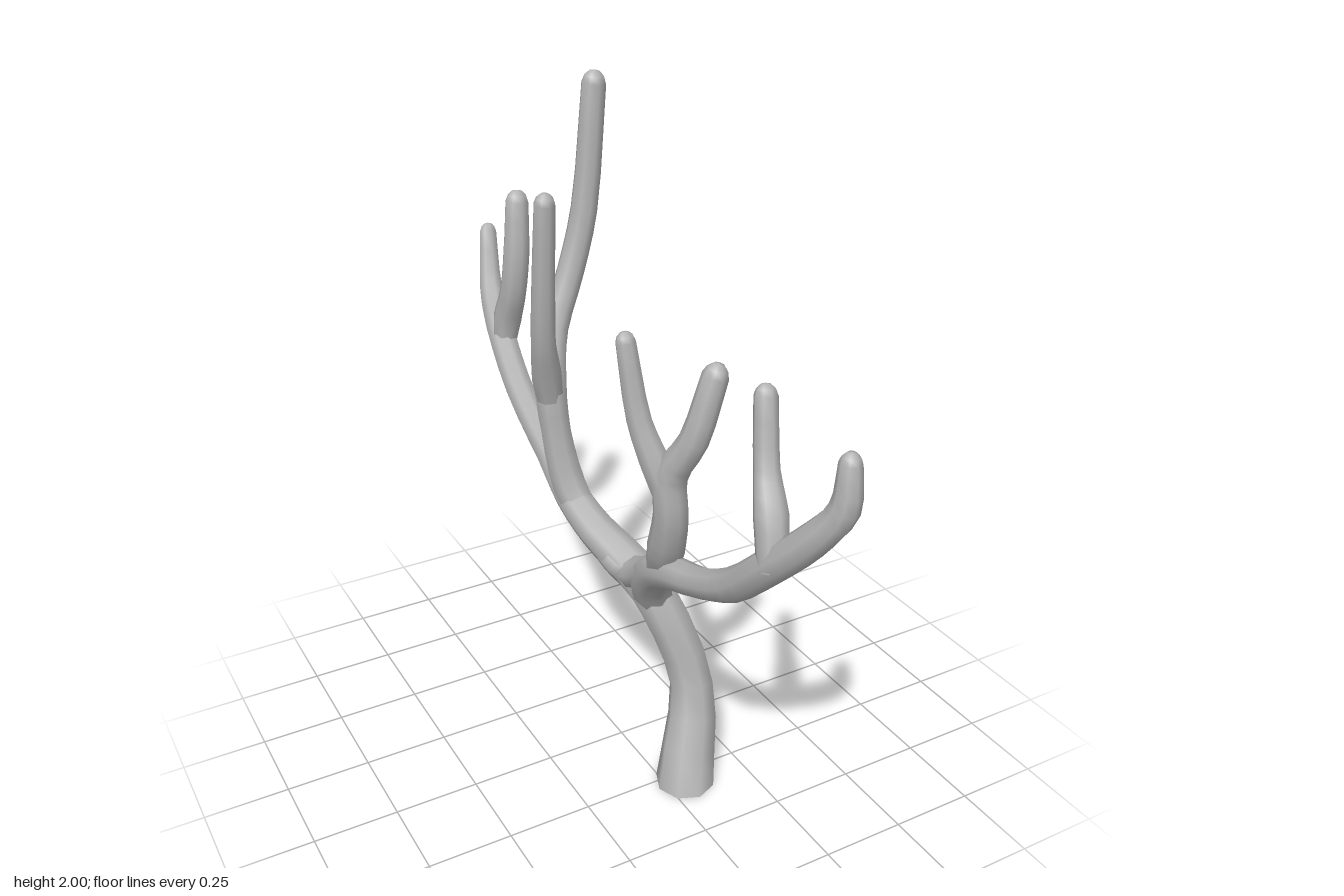
import * as THREE from 'three';

const SIDES = 8;
const X = new THREE.Vector3(1, 0, 0);

// Sweep a tapering tube through [x, y, z, radius] stations, with a rounded tip.
function limbGeometry(stations, { flatBase = false, roundTip = true } = {}) {
  const pts = stations.map(s => new THREE.Vector3(s[0], s[1], s[2]));
  const radii = stations.map(s => s[3]);
  const last = pts.length - 1;
  if (roundTip) {
    const back = pts[last].clone().sub(pts[last - 1]).setLength(radii[last]);
    pts[last].sub(back); // leave room for the cap
  }
  const curve = new THREE.CatmullRomCurve3(pts, false, 'centripetal');
  const rings = [];
  const steps = last * 3;
  for (let i = 0; i <= steps; i++) {
    const t = i / steps;
    const k = Math.min(Math.floor(t * last), last - 1);
    rings.push({
      p: curve.getPoint(t),
      dir: flatBase && i === 0 ? new THREE.Vector3(0, 1, 0) : curve.getTangent(t),
      r: THREE.MathUtils.lerp(radii[k], radii[k + 1], t * last - k),
    });
  }
  if (roundTip) {
    const { p, dir, r } = rings[steps];
    for (const [along, size] of [[0.55, 0.8], [0.92, 0.42], [1, 0]]) {
      rings.push({ p: p.clone().addScaledVector(dir, along * r), dir, r: r * size });
    }
  }

  const position = [], index = [];
  rings.forEach(({ p, dir, r }, i) => {
    const u = X.clone().addScaledVector(dir, -X.dot(dir)).normalize();
    const v = dir.clone().cross(u);
    for (let j = 0; j < SIDES; j++) {
      const a = j / SIDES * Math.PI * 2;
      const q = p.clone().addScaledVector(u, Math.cos(a) * r).addScaledVector(v, Math.sin(a) * r);
      position.push(q.x, q.y, q.z);
      if (i === rings.length - 1) continue;
      const j2 = (j + 1) % SIDES, A = i * SIDES, B = A + SIDES;
      index.push(A + j, A + j2, B + j, A + j2, B + j2, B + j);
    }
  });
  const geo = new THREE.BufferGeometry();
  geo.setAttribute('position', new THREE.Float32BufferAttribute(position, 3));
  geo.setIndex(index);
  geo.computeVertexNormals();
  return geo;
}

export function createModel() {
  const group = new THREE.Group();
  const grey = new THREE.MeshStandardMaterial({ color: 0xb4b4b4 });
  grey.name = 'barkGrey';

  const add = (name, geometry) => {
    const mesh = new THREE.Mesh(geometry, grey);
    mesh.name = name;
    group.add(mesh);
    return mesh;
  };

  // Trunk runs on into the rear main branch
  add('trunkAndRearBranch', limbGeometry([
    [0.06, 0, 0.285, 0.088], [0.122, 0.29, 0.208, 0.066], [0.055, 0.55, 0.122, 0.066],
    [0.01, 0.64, 0.05, 0.064], [-0.045, 0.72, -0.07, 0.057], [-0.07, 0.79, -0.18, 0.052],
    [-0.06, 0.86, -0.35, 0.044], [-0.05, 0.985, -0.58, 0.045], [-0.025, 1.11, -0.76, 0.045],
    [0, 1.2, -0.875, 0.038], [0.03, 1.395, -0.95, 0.028],
  ], { flatBase: true }));
  const base = add('trunkBase', new THREE.CircleGeometry(0.088, SIDES));
  base.rotation.x = Math.PI / 2;
  base.position.set(0.06, 0, 0.285);

  const limbs = {
    // Front main branch, curling up at its end
    frontBranch: [
      [0.045, 0.57, 0.11, 0.06], [0.01, 0.66, 0.155, 0.062], [-0.02, 0.75, 0.25, 0.056],
      [-0.035, 0.805, 0.36, 0.048], [-0.035, 0.845, 0.48, 0.043], [-0.03, 0.915, 0.62, 0.046],
      [-0.015, 1.05, 0.765, 0.047], [0.02, 1.17, 0.875, 0.044], [0.05, 1.27, 0.935, 0.038],
      [0.06, 1.41, 0.932, 0.028]],
    frontBranchTine: [
      [-0.02, 1.04, 0.775, 0.04], [-0.005, 1.17, 0.735, 0.044], [0.015, 1.26, 0.68, 0.033],
      [0.035, 1.46, 0.63, 0.03]],
    // Front upright with two tines
    frontUpright: [
      [-0.02, 0.77, 0.26, 0.045], [-0.045, 0.87, 0.325, 0.053], [-0.06, 1.0, 0.372, 0.048],
      [-0.065, 1.12, 0.375, 0.046], [-0.035, 1.24, 0.435, 0.039], [0.02, 1.445, 0.455, 0.035]],
    frontUprightTine: [
      [-0.06, 1.03, 0.372, 0.04], [-0.09, 1.14, 0.345, 0.042], [-0.12, 1.26, 0.308, 0.034],
      [-0.145, 1.495, 0.273, 0.027]],
    // Rear upright, the tallest limb
    rearUpright: [
      [-0.045, 0.72, -0.1, 0.045], [-0.075, 0.82, -0.18, 0.053], [-0.1, 1.0, -0.215, 0.046],
      [-0.105, 1.16, -0.235, 0.05], [-0.065, 1.29, -0.28, 0.042], [0.0, 1.45, -0.298, 0.04],
      [0.045, 1.62, -0.3, 0.039], [0.082, 2.0, -0.298, 0.035]],
    rearUprightTine: [
      [-0.105, 1.06, -0.225, 0.036], [-0.128, 1.18, -0.208, 0.046], [-0.155, 1.3, -0.168, 0.037],
      [-0.165, 1.48, -0.138, 0.034], [-0.167, 1.745, -0.11, 0.03]],
    rearBranchTine: [
      [-0.03, 1.06, -0.72, 0.036], [-0.02, 1.16, -0.71, 0.046], [-0.015, 1.26, -0.67, 0.042],
      [-0.005, 1.39, -0.657, 0.042], [0.012, 1.58, -0.673, 0.037]],
  };
  for (const [name, stations] of Object.entries(limbs)) add(name, limbGeometry(stations));

  // Webbing that softens the main fork
  add('forkWeb', limbGeometry([
    [-0.02, 0.73, 0.22, 0.045], [0.0, 0.665, 0.12, 0.05], [-0.005, 0.64, 0.06, 0.05],
    [-0.03, 0.665, 0.01, 0.045], [-0.045, 0.72, -0.07, 0.045],
  ]));
  return group;
}
